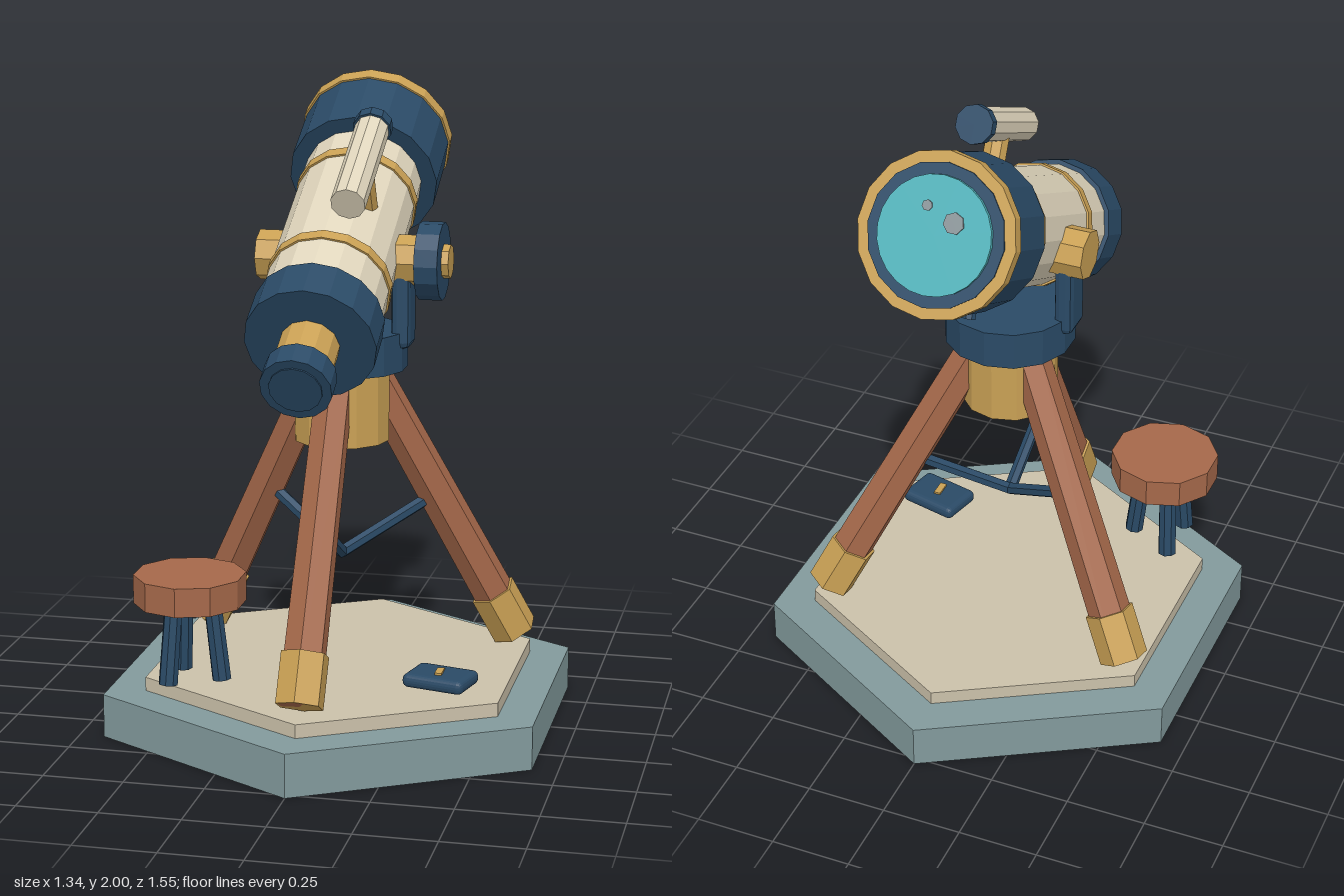
import * as THREE from 'three';
import { RoundedBoxGeometry } from 'three/addons/geometries/RoundedBoxGeometry.js';

const paint = (name, color) => {
  const m = new THREE.MeshStandardMaterial({ color, flatShading: true });
  m.name = name;
  return m;
};

export function createModel() {
  const navy = paint('navy', 0x2a4a66);
  const brass = paint('brass', 0xc9a054);
  const cream = paint('cream', 0xdfd5bc);
  const wood = paint('wood', 0xa5684a);
  const slate = paint('slate', 0x829a9c);
  const sand = paint('sand', 0xcbc1aa);
  const glass = paint('glass', 0x50b2ba);
  const grey = paint('grey', 0x8a9498);

  const model = new THREE.Group();
  model.name = 'telescopeOnTripod';

  const add = (parent, name, geometry, material, x = 0, y = 0, z = 0) => {
    const mesh = new THREE.Mesh(geometry, material);
    mesh.name = name;
    mesh.position.set(x, y, z);
    parent.add(mesh);
    return mesh;
  };
  // Upright cylinder between two heights
  const drum = (parent, name, material, r, y0, y1, sides = 16, x = 0, z = 0) =>
    add(parent, name, new THREE.CylinderGeometry(r, r, y1 - y0, sides), material, x, (y0 + y1) / 2, z);
  // Straight rod between two points
  const up = new THREE.Vector3(0, 1, 0);
  const rod = (parent, name, material, a, b, rA, rB, sides) => {
    const dir = b.clone().sub(a);
    const mesh = add(parent, name, new THREE.CylinderGeometry(rB, rA, dir.length(), sides), material);
    mesh.position.copy(a).add(b).multiplyScalar(0.5);
    mesh.quaternion.setFromUnitVectors(up, dir.normalize());
    return mesh;
  };
  const V = (x, y, z) => new THREE.Vector3(x, y, z);

  // Hexagonal plinth
  drum(model, 'plinth', slate, 0.775, 0, 0.137, 6);
  drum(model, 'plinthFloor', sand, 0.64, 0.137, 0.18, 6);

  // Tripod: each leg is built facing +z, then turned
  for (let i = 0; i < 3; i++) {
    const leg = new THREE.Group();
    leg.name = 'tripodLeg' + (i + 1);
    leg.rotation.y = (i * Math.PI * 2) / 3;
    const foot = V(0, 0.217, 0.585), top = V(0, 1.12, 0.085);
    rod(leg, 'legShaft', wood, foot, top, 0.068, 0.06, 6);
    rod(leg, 'legBoot', brass, foot, foot.clone().lerp(top, 0.155), 0.076, 0.076, 6);
    rod(leg, 'legBrace', navy, V(0, 0.53, 0), V(0, 0.7, 0.32), 0.02, 0.02, 6);
    model.add(leg);
  }
  drum(model, 'tripodHub', brass, 0.15, 0.9, 1.13, 12);
  drum(model, 'mountCollar', navy, 0.204, 1.13, 1.25, 14);

  // Yoke arms and tilt axle
  for (const s of [-1, 1]) {
    add(model, s > 0 ? 'leftYokeArm' : 'rightYokeArm',
      new RoundedBoxGeometry(0.06, 0.31, 0.116, 1, 0.02), navy, s * 0.193, 1.355, 0);
  }
  const axle = new THREE.Group();
  axle.name = 'tiltAxle';
  axle.position.y = 1.47;
  axle.rotation.z = -Math.PI / 2; // local y runs along +x
  drum(axle, 'axleBar', brass, 0.078, -0.258, 0.258, 8);
  drum(axle, 'tiltWheel', navy, 0.12, 0.246, 0.318, 14);
  drum(axle, 'wheelCap', brass, 0.053, 0.318, 0.34, 8);
  model.add(axle);

  // Telescope: local y runs along the barrel, local z points up from it
  const scope = new THREE.Group();
  scope.name = 'telescope';
  scope.position.y = 1.507;
  scope.rotation.x = -THREE.MathUtils.degToRad(63);
  model.add(scope);
  drum(scope, 'barrel', cream, 0.186, -0.4, 0.4);
  for (const t of [-0.198, 0.234]) drum(scope, 'barrelBand', brass, 0.192, t - 0.018, t + 0.018);
  drum(scope, 'frontHood', navy, 0.236, 0.348, 0.565);
  drum(scope, 'frontRim', brass, 0.242, 0.565, 0.607);
  drum(scope, 'lensSeat', navy, 0.209, 0.6, 0.612);
  drum(scope, 'lens', glass, 0.173, 0.6, 0.625, 24);
  drum(scope, 'lensGlintLarge', grey, 0.032, 0.622, 0.63, 7, -0.054, 0.045);
  drum(scope, 'lensGlintSmall', grey, 0.016, 0.622, 0.63, 7, 0.033, 0.08);
  drum(scope, 'rearHousing', navy, 0.2, -0.486, -0.352);
  drum(scope, 'focusTube', brass, 0.09, -0.63, -0.48, 12);
  drum(scope, 'eyepiece', navy, 0.108, -0.693, -0.615, 14);
  drum(scope, 'eyepieceCup', navy, 0.08, -0.698, -0.69, 14);
  rod(scope, 'lockKnob', navy, V(0, 0.224, -0.17), V(0, 0.224, -0.266), 0.022, 0.022, 8);

  // Finder scope
  drum(scope, 'finderTube', cream, 0.053, -0.19, 0.2, 10, 0.085, 0.297);
  drum(scope, 'finderCap', navy, 0.06, 0.195, 0.23, 10, 0.085, 0.297);
  rod(scope, 'finderPost', brass, V(0.085, 0.013, 0.14), V(0.085, 0.013, 0.27), 0.038, 0.038, 8);

  // Stool
  const stool = new THREE.Group();
  stool.name = 'stool';
  stool.position.set(-0.396, 0, 0.36);
  drum(stool, 'stoolSeat', wood, 0.173, 0.45, 0.54, 10);
  for (let i = 0; i < 3; i++) {
    const a = (i * Math.PI * 2) / 3, c = Math.cos(a), s = Math.sin(a);
    rod(stool, 'stoolLeg', navy, V(c * 0.098, 0.208, s * 0.098), V(c * 0.07, 0.46, s * 0.07), 0.03, 0.028, 8);
  }
  model.add(stool);

  // Closed notebook with a clasp
  const book = add(model, 'notebook', new RoundedBoxGeometry(0.2, 0.043, 0.145, 2, 0.018), navy, 0.365, 0.222, 0.254);
  book.rotation.y = -0.24;
  add(model, 'notebookClasp', new THREE.BoxGeometry(0.022, 0.008, 0.056), brass, 0.363, 0.246, 0.26);

  return model;
}
